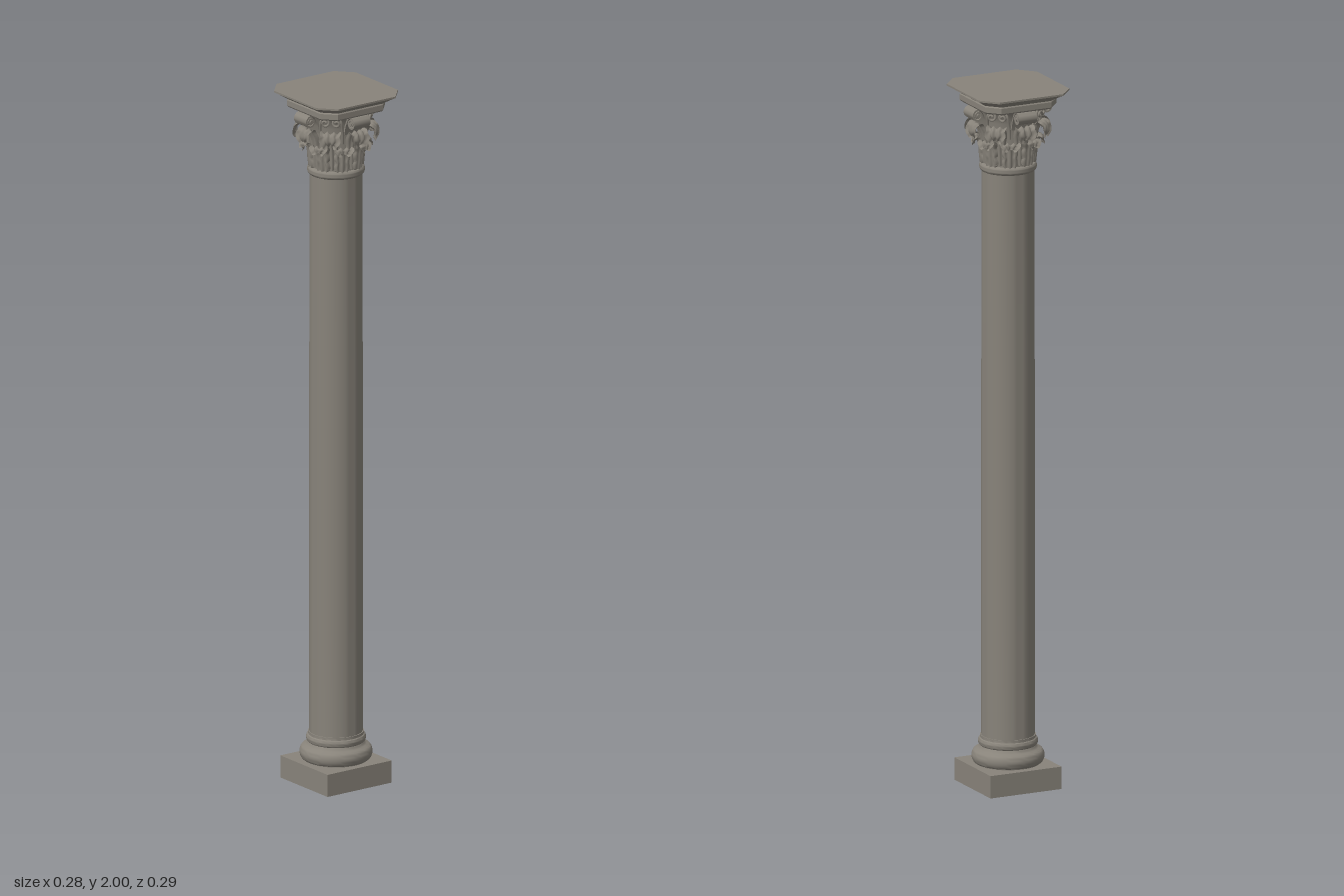
import * as THREE from 'three';
import { toCreasedNormals } from 'three/addons/utils/BufferGeometryUtils.js';

const V2 = (x, y) => new THREE.Vector2(x, y);

// Turned part from [radius, y] pairs, bottom to top
function turned(profile) {
  return toCreasedNormals(new THREE.LatheGeometry(profile.map(p => V2(...p)), 48), 0.7);
}

// Half-round moulding between two heights
function roll(r, y0, y1, bulge) {
  const pts = [];
  for (let i = 0; i <= 10; i++) {
    const t = (i / 10) * Math.PI;
    pts.push([r + bulge * Math.sin(t), (y0 + y1) / 2 - ((y1 - y0) / 2) * Math.cos(t)]);
  }
  return pts;
}

// Square with cut corners, lofted through [y, scale] levels
function cutCornerLoft(levels, hx, hz, cut) {
  const ring = [[hx, -cut], [hx, cut], [cut, hz], [-cut, hz], [-hx, cut], [-hx, -cut], [-cut, -hz], [cut, -hz]];
  const pos = [], idx = [], n = ring.length;
  for (const [y, s] of levels) for (const [x, z] of ring) pos.push(x * s, y, z * s);
  for (let l = 0; l < levels.length - 1; l++) {
    for (let i = 0; i < n; i++) {
      const a = l * n + i, b = l * n + (i + 1) % n;
      idx.push(a, a + n, b, b, a + n, b + n);
    }
  }
  const top = (levels.length - 1) * n;
  for (let i = 1; i < n - 1; i++) {
    idx.push(0, i, i + 1);
    idx.push(top, top + i + 1, top + i);
  }
  const g = new THREE.BufferGeometry();
  g.setAttribute('position', new THREE.Float32BufferAttribute(pos, 3));
  g.setIndex(idx);
  const flat = g.toNonIndexed();
  flat.computeVertexNormals();
  return flat;
}

// Acanthus leaf: ribbed, lobed sheet following a [radius, y] path
function leafGeometry(path, halfWidth) {
  const curve = new THREE.SplineCurve(path.map(p => V2(...p)));
  const rows = 28, cols = 12, pos = [], idx = [];
  for (let i = 0; i <= rows; i++) {
    const t = i / rows, p = curve.getPoint(t), d = curve.getTangent(t);
    const lobes = 0.8 + 0.2 * Math.abs(Math.sin(t * Math.PI * 4.5));
    const w = halfWidth * lobes * (t < 0.6 ? 1 : Math.sqrt(Math.max(0.06, 1 - ((t - 0.6) / 0.42) ** 2)));
    for (let j = 0; j <= cols; j++) {
      const v = (j / cols) * 2 - 1;
      const pleat = 0.004 * Math.cos(v * Math.PI * 3) - 0.003 * v * v;
      const r = p.x + pleat * d.y, y = p.y - pleat * d.x - 0.006 * v * v * t;
      const a = (v * w) / 0.085;
      pos.push(r * Math.sin(a), y, r * Math.cos(a));
      if (i < rows && j < cols) {
        const k = i * (cols + 1) + j;
        idx.push(k, k + 1, k + cols + 1, k + 1, k + cols + 2, k + cols + 1);
      }
    }
  }
  const g = new THREE.BufferGeometry();
  g.setAttribute('position', new THREE.Float32BufferAttribute(pos, 3));
  g.setIndex(idx);
  g.computeVertexNormals();
  return g;
}

// Scroll band: a stem that runs into a spiral, extruded sideways
function voluteGeometry(width) {
  const line = [V2(0.074, 1.895), V2(0.08, 1.92)];
  for (let i = 0; i <= 36; i++) {
    const t = i / 36, a = 2.6 - t * Math.PI * 3.6, r = 0.018 - 0.013 * t;
    line.push(V2(0.106 + r * Math.cos(a), 1.934 + r * Math.sin(a)));
  }
  const outer = [], inner = [];
  line.forEach((p, i) => {
    const d = line[Math.min(i + 1, line.length - 1)].clone().sub(line[Math.max(i - 1, 0)]).normalize();
    outer.push(V2(p.x - d.y * 0.0024, p.y + d.x * 0.0024));
    inner.unshift(V2(p.x + d.y * 0.0024, p.y - d.x * 0.0024));
  });
  const g = new THREE.ExtrudeGeometry(new THREE.Shape([...outer, ...inner]), { depth: width, bevelEnabled: false });
  g.translate(0, 0, -width / 2);
  return toCreasedNormals(g, 0.7);
}

export function createModel() {
  const column = new THREE.Group();
  column.name = 'column';
  const stone = new THREE.MeshStandardMaterial({ color: 0x88837a });
  stone.name = 'grey stone';
  const leafStone = new THREE.MeshStandardMaterial({ color: 0x88837a, side: THREE.DoubleSide });
  leafStone.name = 'grey stone leaf';

  const add = (name, geometry, material = stone, parent = column) => {
    const m = new THREE.Mesh(geometry, material);
    m.name = name;
    parent.add(m);
    return m;
  };
  // Repeat a mesh around the column
  const around = (name, geometry, count, offset = 0, material = stone) => {
    const group = new THREE.Group();
    group.name = name + 's';
    for (let i = 0; i < count; i++) {
      add(name, geometry, material, group).rotation.y = offset + (i / count) * Math.PI * 2;
    }
    column.add(group);
  };

  // Plinth and turned base
  add('plinth', new THREE.BoxGeometry(0.22, 0.064, 0.22)).position.y = 0.032;
  add('base', turned([
    [0.088, 0.064], ...roll(0.088, 0.066, 0.106, 0.013),
    [0.084, 0.108], [0.078, 0.112], [0.076, 0.117],
    ...roll(0.077, 0.117, 0.138, 0.006), [0.077, 0.139], [0.077, 0.146], [0.07, 0.146],
  ]));

  // Shaft and neck ring
  add('shaft', turned([[0.074, 0.14], [0.074, 0.6], [0.074, 1.2], [0.073, 1.768]]));
  add('neckRing', turned([[0.072, 1.762], ...roll(0.075, 1.764, 1.785, 0.005), [0.066, 1.786]]));

  // Capital core
  add('bell', turned([[0.069, 1.78], [0.07, 1.86], [0.074, 1.91], [0.083, 1.94], [0.095, 1.952], [0.095, 1.96]]));

  // Two tiers of leaves
  const lowLeaf = leafGeometry([[0.074, 1.784], [0.077, 1.81], [0.079, 1.835], [0.086, 1.856], [0.095, 1.855], [0.095, 1.843]], 0.028);
  const highLeaf = leafGeometry([[0.073, 1.79], [0.076, 1.84], [0.083, 1.88], [0.097, 1.906], [0.11, 1.9], [0.114, 1.884], [0.107, 1.872]], 0.024);
  around('lowerLeaf', lowLeaf, 8, Math.PI / 8, leafStone);
  around('upperLeaf', highLeaf, 8, 0, leafStone);

  // Scrolls with round eyes on the four sides
  around('volute', voluteGeometry(0.056), 4);
  const eye = new THREE.CylinderGeometry(0.0055, 0.0055, 0.062, 16);
  eye.rotateX(Math.PI / 2).translate(0.106, 1.934, 0);
  around('voluteEye', eye, 4);

  // Small curling tendrils in pairs below the cut corners
  for (const side of [-1, 1]) {
    const pts = [new THREE.Vector3(side * 0.03, 1.87, 0.075), new THREE.Vector3(side * 0.031, 1.905, 0.083)];
    for (let i = 0; i <= 14; i++) {
      const t = i / 14, a = t * Math.PI * 2.8, r = 0.013 - 0.008 * t;
      pts.push(new THREE.Vector3(side * (0.016 + r * Math.cos(a)), 1.934 + r * Math.sin(a), 0.092 + 0.008 * t));
    }
    const tendril = new THREE.TubeGeometry(new THREE.CatmullRomCurve3(pts), 50, 0.0035, 8);
    around(side < 0 ? 'rightTendril' : 'leftTendril', tendril, 4, Math.PI / 4);
  }

  // Abacus: lower slab and flaring top slab with cut corners
  add('abacusLowerSlab', cutCornerLoft([[1.953, 0.77], [1.957, 0.79], [1.972, 0.79], [1.976, 0.77]], 0.14, 0.144, 0.098));
  add('abacusTopSlab', cutCornerLoft([[1.974, 0.76], [1.978, 0.8], [1.994, 0.98], [1.995, 1], [2, 1]], 0.14, 0.144, 0.098));

  return column;
}
